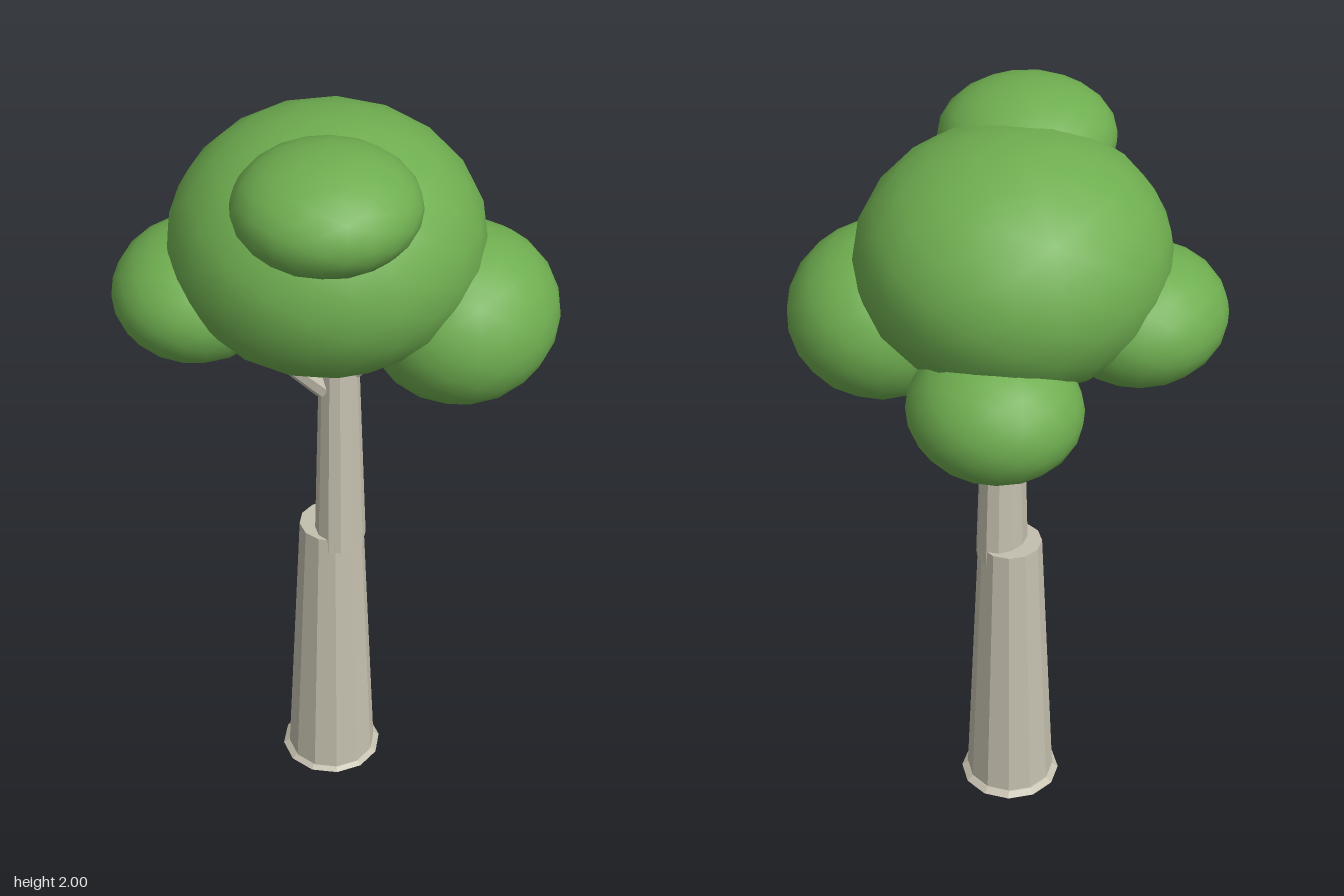
import * as THREE from 'three';

export function createModel() {
  const tree = new THREE.Group();
  tree.name = 'tree';
  const bark = new THREE.MeshStandardMaterial({ name: 'pale bark', color: 0xc4bfae, flatShading: true });
  const leaf = new THREE.MeshStandardMaterial({ name: 'leaf green', color: 0x6fae50 });

  function add(name, geometry, material) {
    const mesh = new THREE.Mesh(geometry, material);
    mesh.name = name;
    tree.add(mesh);
    return mesh;
  }

  // Tapered log between two points
  function log(name, from, to, r0, r1, sides) {
    const a = new THREE.Vector3(...from), b = new THREE.Vector3(...to);
    const dir = b.clone().sub(a);
    const mesh = add(name, new THREE.CylinderGeometry(r1, r0, dir.length(), sides), bark);
    mesh.position.copy(a).add(b).multiplyScalar(0.5);
    mesh.quaternion.setFromUnitVectors(new THREE.Vector3(0, 1, 0), dir.normalize());
    return mesh;
  }

  // Trunk: thin foot, wide lower section, narrower upper section
  log('trunkFoot', [-0.022, 0, 0.015], [-0.022, 0.012, 0.015], 0.136, 0.12, 12);
  log('lowerTrunk', [-0.02, 0.005, 0.018], [-0.018, 0.8, 0.018], 0.12, 0.084, 12);
  const upper = log('upperTrunk', [0.007, 0.76, 0.018], [0.003, 1.45, 0.018], 0.08, 0.055, 12);
  upper.scale.x = 0.8;

  // Branches reaching into the leaf clumps
  log('leftBranch', [-0.02, 1.25, 0.05], [-0.2, 1.46, 0.17], 0.032, 0.022, 8);
  log('rightBranch', [0.01, 1.27, 0.01], [0.18, 1.44, -0.04], 0.032, 0.022, 8);
  log('backBranch', [0, 1.27, -0.01], [-0.08, 1.4, -0.16], 0.032, 0.022, 8);

  // Leaf clumps: name, centre, radii, turn
  const clumps = [
    ['mainCrown', [-0.03, 1.655, 0.01], [0.382, 0.312, 0.388], 0.3],
    ['topClump', [0.058, 1.866, 0.215], [0.218, 0.136, 0.218], 0.9],
    ['rightClump', [0.28, 1.465, -0.09], [0.237, 0.217, 0.252], 0],
    ['leftClump', [-0.31, 1.52, 0.14], [0.208, 0.165, 0.222], 0],
    ['backClump', [-0.13, 1.39, -0.235], [0.215, 0.168, 0.203], 0],
  ];
  for (const [name, centre, radii, turn] of clumps) {
    const geometry = new THREE.IcosahedronGeometry(1, 3);
    geometry.rotateY(turn);
    geometry.scale(...radii);
    add(name, geometry, leaf).position.set(...centre);
  }
  return tree;
}
